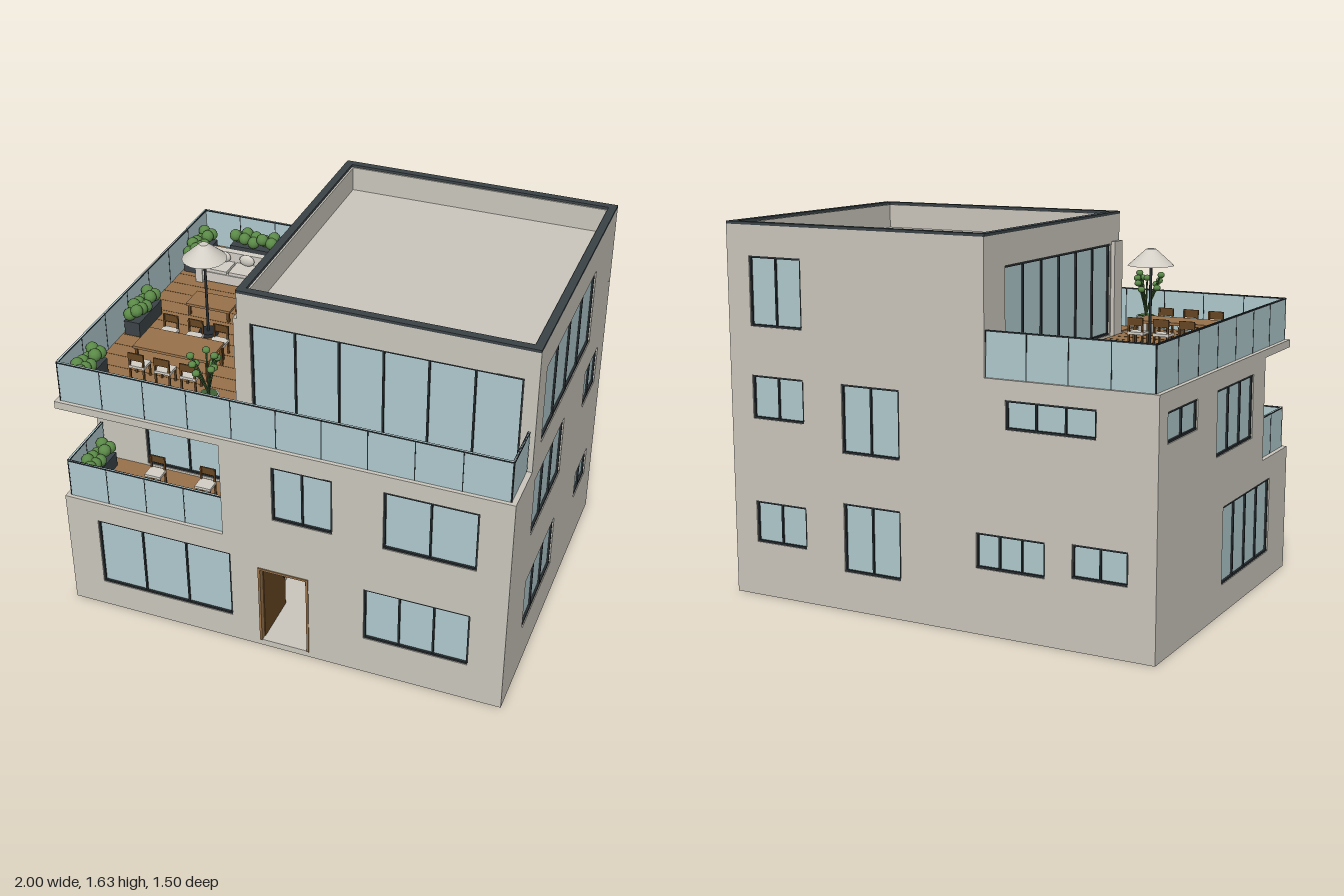
import * as THREE from 'three';

const mat = (name, color, extra = {}) => Object.assign(new THREE.MeshStandardMaterial({ color, ...extra }), { name });
const M = {
  wall: mat('plaster', 0xcac6bc),
  glass: mat('glass', 0xb0c9cd),
  dark: mat('dark metal', 0x262c2f),
  rim: mat('roof edge', 0x3b4347),
  wood: mat('wood', 0x98724a),
  brown: mat('dark wood', 0x664623),
  green: mat('leaf', 0x5b8a48),
  stem: mat('stem', 0x3f6036),
  cream: mat('cream', 0xd3cfc6),
};

function add(parent, name, geo, material, x = 0, y = 0, z = 0) {
  const m = new THREE.Mesh(geo, material);
  m.name = name;
  m.position.set(x, y, z);
  parent.add(m);
  return m;
}

// Box given by its limits on each axis
const box = (p, name, m, x0, x1, y0, y1, z0, z1) =>
  add(p, name, new THREE.BoxGeometry(x1 - x0, y1 - y0, z1 - z0), m, (x0 + x1) / 2, (y0 + y1) / 2, (z0 + z1) / 2);

function group(parent, name, x = 0, y = 0, z = 0, ry = 0) {
  const g = new THREE.Group();
  g.name = name;
  g.position.set(x, y, z);
  g.rotation.y = ry;
  parent.add(g);
  return g;
}

// Wall with openings; windows are [u0, u1, y0, y1, panes], outward is local +z
function facade(parent, name, ry, dist, outline, windows, doors = []) {
  const g = group(parent, name, Math.sin(ry) * dist, 0, Math.cos(ry) * dist, ry);
  const shape = new THREE.Shape(outline.map(([u, y]) => new THREE.Vector2(u, y)));
  for (const [a, b, c, d] of [...windows, ...doors]) {
    shape.holes.push(new THREE.Path([[a, c], [a, d], [b, d], [b, c]].map(p => new THREE.Vector2(...p))));
  }
  const T = 0.04;
  add(g, 'wall', new THREE.ExtrudeGeometry(shape, { depth: T, bevelEnabled: false }), M.wall, 0, 0, -T);
  for (const [a, b, c, d, n] of windows) {
    const w = group(g, 'window');
    box(w, 'pane', M.glass, a, b, c, d, -0.03, -0.014);
    for (let i = 0; i <= n; i++) {
      const u = a + 0.004 + (b - a - 0.008) * i / n;
      box(w, 'mullion', M.dark, u - 0.004, u + 0.004, c, d, -0.03, -0.006);
    }
    for (const y of [c, d - 0.009]) box(w, 'frameBar', M.dark, a, b, y, y + 0.009, -0.03, -0.004);
  }
  return g;
}

// Straight glass railing between two ground points
function railing(parent, x0, z0, x1, z1, y, h, n) {
  const len = Math.hypot(x1 - x0, z1 - z0);
  const g = group(parent, 'glassRailing', x0, y, z0, -Math.atan2(z1 - z0, x1 - x0));
  box(g, 'railGlass', M.glass, 0, len, 0, h, -0.003, 0.003);
  box(g, 'topRail', M.dark, 0, len, h - 0.006, h, -0.005, 0.005);
  for (let i = 0; i <= n; i++) box(g, 'railPost', M.dark, len * i / n - 0.002, len * i / n + 0.002, 0, h, -0.004, 0.004);
}

// Trough with two rows of round bushes along x
function planter(parent, x, y, z, len, ry) {
  const g = group(parent, 'planter', x, y, z, ry);
  box(g, 'trough', M.rim, -len / 2, len / 2, 0, 0.07, -0.037, 0.037);
  const n = Math.round(len / 0.046);
  for (let i = 0; i < n; i++) for (const s of [-1, 1]) {
    add(g, 'bush', new THREE.SphereGeometry(0.029, 10, 7), M.green,
      (i + 0.5) * len / n - len / 2, 0.095 + 0.012 * ((i * 2 + s + 1) % 3), s * 0.018);
  }
}

// Round pot with fanned stems ending in leaf buds
function pottedPlant(parent, x, y, z, h, spread) {
  const g = group(parent, 'pottedPlant', x, y, z);
  add(g, 'pot', new THREE.CylinderGeometry(0.043, 0.034, 0.08, 16), M.cream, 0, 0.04, 0);
  add(g, 'soil', new THREE.CylinderGeometry(0.037, 0.037, 0.004, 16), M.stem, 0, 0.081, 0);
  for (let i = 0; i < 11; i++) {
    const a = i * 2.4, r = spread * (0.45 + 0.55 * ((i * 7) % 11) / 10), t = h * (0.98 - 0.25 * ((i * 5) % 11) / 10);
    const tip = new THREE.Vector3(Math.cos(a) * r, t, Math.sin(a) * r);
    const curve = new THREE.QuadraticBezierCurve3(new THREE.Vector3(0, 0.08, 0),
      new THREE.Vector3(tip.x * 0.35, t * 0.7, tip.z * 0.35), tip);
    add(g, 'stem', new THREE.TubeGeometry(curve, 5, 0.004, 5), M.stem);
    add(g, 'leaf', new THREE.SphereGeometry(0.016, 8, 6), M.green, tip.x, tip.y, tip.z).scale.set(1.1, 0.9, 1.1);
  }
}

// Chair with its back towards local -z
function chair(parent, x, y, z, ry) {
  const g = group(parent, 'chair', x, y, z, ry);
  for (const s of [-1, 1]) for (const t of [-1, 1])
    box(g, 'chairLeg', M.brown, s * 0.032 - 0.004, s * 0.032 + 0.004, 0, t < 0 ? 0.13 : 0.06, t * 0.028 - 0.004, t * 0.028 + 0.004);
  box(g, 'seat', M.cream, -0.037, 0.037, 0.06, 0.072, -0.033, 0.033);
  box(g, 'backrest', M.brown, -0.036, 0.036, 0.1, 0.135, -0.034, -0.028);
}

function table(parent, name, x0, x1, z0, z1, y, h) {
  const g = group(parent, name);
  box(g, 'tabletop', M.wood, x0, x1, y + h - 0.012, y + h, z0, z1);
  for (const x of [x0 + 0.012, x1 - 0.012]) for (const z of [z0 + 0.012, z1 - 0.012])
    box(g, 'tableLeg', M.brown, x - 0.006, x + 0.006, y, y + h - 0.012, z - 0.006, z + 0.006);
}

export function createModel() {
  const house = new THREE.Group();
  house.name = 'house';
  const H = Math.PI / 2, Z = 0.745, TOP = 1.62, DECK = 1.072;

  // Outer walls
  facade(house, 'frontWall', 0, Z, [[-1, 0], [1, 0], [1, 1.065], [-0.25, 1.065], [-0.25, 0.57], [-1, 0.57]], [
    [-0.85, -0.22, 0.13, 0.475, 3], [0.385, 0.845, 0.19, 0.46, 3],
    [-0.02, 0.245, 0.71, 0.98, 2], [0.465, 0.86, 0.7, 0.985, 2]], [[-0.09, 0.135, 0.03, 0.43]]);
  facade(house, 'leftWall', H, 1, [[-Z, 0], [Z, 0], [Z, TOP], [-0.515, TOP], [-0.515, 1.065], [-Z, 1.065]], [
    [-0.465, 0, 0.205, 0.465, 3], [0.395, 0.605, 0.29, 0.43, 2], [-0.45, 0.015, 0.7, 0.985, 3],
    [0.385, 0.615, 0.8, 0.985, 2], [-0.4, 0.4, 1.135, 1.487, 4]]);
  facade(house, 'rightWall', -H, 1, [[-Z, 0], [Z, 0], [Z, 0.57], [0.42, 0.57], [0.42, 1.065], [-Z, 1.065]], [
    [-0.05, 0.52, 0.13, 0.47, 4], [-0.66, -0.36, 0.86, 0.985, 2], [-0.145, 0.275, 0.7, 0.98, 3]]);
  facade(house, 'backWall', Math.PI, Z, [[-1, 0], [1, 0], [1, 1.065], [0.25, 1.065], [0.25, TOP], [-1, TOP]], [
    [-0.886, -0.624, 1.19, 1.49, 2], [-0.886, -0.624, 0.79, 0.98, 2], [-0.886, -0.624, 0.24, 0.425, 2],
    [-0.43, -0.15, 0.685, 0.98, 2], [-0.43, -0.15, 0.17, 0.47, 2], [0.345, 0.74, 0.865, 0.985, 3],
    [0.21, 0.52, 0.28, 0.43, 3], [0.64, 0.88, 0.3, 0.44, 2]]);

  // Recessed balcony and upper storey walls
  facade(house, 'balconyWall', 0, 0.42, [[-1, 0.57], [-0.25, 0.57], [-0.25, 1.04], [-1, 1.04]], [[-0.76, -0.35, 0.585, 0.957, 2]]);
  box(house, 'balconySideWall', M.wall, -0.25, -0.21, 0.57, 1.065, 0.38, Z);
  facade(house, 'upperFrontWall', 0, 0.515, [[-0.25, 1.06], [1, 1.06], [1, TOP], [-0.25, TOP]], [[-0.195, 0.94, 1.075, 1.49, 6]]);
  facade(house, 'upperRightWall', -H, 0.25, [[-Z, 1.06], [0.515, 1.06], [0.515, TOP], [-Z, TOP]], [[-0.57, 0.42, 1.075, 1.49, 6]]);
  box(house, 'sideTrim', M.wall, -0.268, -0.25, 1.065, 1.5, 0.43, 0.515);

  // Floors and roof
  box(house, 'baseSlab', M.wall, -1, 1, 0, 0.03, -Z, Z);
  box(house, 'middleSlab', M.wall, -1, 1, 0.54, 0.57, -Z, Z);
  box(house, 'terraceSlab', M.wall, -1, 1, 1.03, 1.065, -Z, Z);
  box(house, 'roofSlab', M.wall, -0.24, 0.99, 1.49, 1.51, -Z + 0.01, 0.505);
  for (const z of [-Z, 0.483]) box(house, 'roofRim', M.rim, -0.252, 1, TOP, 1.632, z, z + 0.034);
  for (const x of [-0.252, 0.966]) box(house, 'roofRim', M.rim, x, x + 0.034, TOP, 1.632, -Z + 0.034, 0.483);
  box(house, 'sideDeck', M.wood, -0.973, -0.268, 1.065, DECK, -0.728, 0.722);
  box(house, 'frontDeck', M.wood, -0.24, 0.97, 1.065, DECK, 0.515, 0.722);
  box(house, 'balconyDeck', M.wood, -0.973, -0.25, 0.57, 0.575, 0.42, 0.722);
  for (let i = 0; i < 17; i++) box(house, 'plankGap', M.brown, -0.973, -0.268, DECK, DECK + 0.001, -0.66 + i * 0.083, -0.658 + i * 0.083);

  // Railings
  railing(house, -0.977, 0.725, 0.975, 0.725, 1.065, 0.19, 10);
  railing(house, -0.977, -0.73, -0.977, 0.725, 1.065, 0.19, 7);
  railing(house, -0.977, -0.73, -0.25, -0.73, 1.065, 0.19, 4);
  railing(house, 0.975, 0.515, 0.975, 0.725, 1.065, 0.19, 1);
  railing(house, -0.977, 0.725, -0.25, 0.725, 0.57, 0.185, 4);
  railing(house, -0.977, 0.42, -0.977, 0.725, 0.57, 0.185, 2);

  // Entrance with an open door
  const hall = group(house, 'entrance');
  box(hall, 'hallBack', M.wall, -0.16, 0.3, 0.03, 0.54, 0.25, 0.27);
  for (const x of [-0.16, 0.28]) box(hall, 'hallSide', M.wall, x, x + 0.02, 0.03, 0.54, 0.27, 0.705);
  for (const x of [-0.092, 0.127]) box(hall, 'doorJamb', M.wood, x, x + 0.01, 0.03, 0.435, 0.7, 0.75);
  box(hall, 'doorHead', M.wood, -0.092, 0.137, 0.425, 0.435, 0.7, 0.75);
  box(hall, 'openDoor', M.brown, -0.088, -0.078, 0.032, 0.424, 0.49, 0.72);
  add(hall, 'doorKnob', new THREE.SphereGeometry(0.008, 10, 8), M.dark, -0.072, 0.21, 0.51);
  box(hall, 'shelfBack', M.brown, 0.13, 0.14, 0.03, 0.31, 0.4, 0.6);
  for (let i = 0; i < 8; i++) box(hall, 'shelf', M.wood, 0.098, 0.13, 0.04 + i * 0.037, 0.05 + i * 0.037, 0.4, 0.6);
  pottedPlant(hall, 0.025, 0.03, 0.4, 0.29, 0.07);

  // Terrace planting
  for (const z of [-0.55, 0.06, 0.58]) planter(house, -0.925, DECK, z, 0.22, H);
  planter(house, -0.58, DECK, -0.67, 0.46, 0);
  planter(house, -0.925, 0.575, 0.58, 0.22, H);
  pottedPlant(house, -0.36, DECK, 0.58, 0.28, 0.075);

  // Corner sofa
  const sofa = group(house, 'sofa');
  box(sofa, 'sofaBase', M.cream, -0.86, -0.44, DECK + 0.012, DECK + 0.06, -0.5, -0.375);
  box(sofa, 'chaise', M.cream, -0.595, -0.44, DECK + 0.012, DECK + 0.06, -0.375, -0.21);
  box(sofa, 'sofaBack', M.cream, -0.87, -0.44, DECK, DECK + 0.12, -0.52, -0.485);
  box(sofa, 'sofaArm', M.cream, -0.87, -0.835, DECK, DECK + 0.09, -0.485, -0.37);
  box(sofa, 'sofaArm', M.cream, -0.47, -0.44, DECK, DECK + 0.09, -0.485, -0.36);
  for (const x of [-0.77, -0.65, -0.535]) {
    box(sofa, 'seatCushion', M.cream, x - 0.055, x + 0.055, DECK + 0.06, DECK + 0.075, -0.48, -0.38);
    add(sofa, 'pillow', new THREE.SphereGeometry(0.038, 12, 8), M.cream, x, DECK + 0.1, -0.472).scale.set(1, 0.75, 0.4);
  }

  // Tables, chairs and parasol
  table(house, 'coffeeTable', -0.78, -0.565, -0.2, -0.08, DECK, 0.06);
  table(house, 'diningTable', -0.8, -0.445, 0.235, 0.4, DECK, 0.11);
  for (const x of [-0.74, -0.62, -0.5]) {
    chair(house, x, DECK, 0.178, 0);
    chair(house, x, DECK, 0.457, Math.PI);
  }
  for (const x of [-0.66, -0.42]) chair(house, x, 0.575, 0.54, 0);
  const parasol = group(house, 'parasol', -0.62, DECK, 0.03);
  add(parasol, 'parasolFoot', new THREE.CylinderGeometry(0.04, 0.045, 0.015, 20), M.dark, 0, 0.008, 0);
  add(parasol, 'parasolPole', new THREE.CylinderGeometry(0.006, 0.006, 0.4, 10), M.dark, 0, 0.2, 0);
  add(parasol, 'parasolShade', new THREE.CylinderGeometry(0.02, 0.098, 0.07, 28), M.cream, 0, 0.415, 0);

  return house;
}
